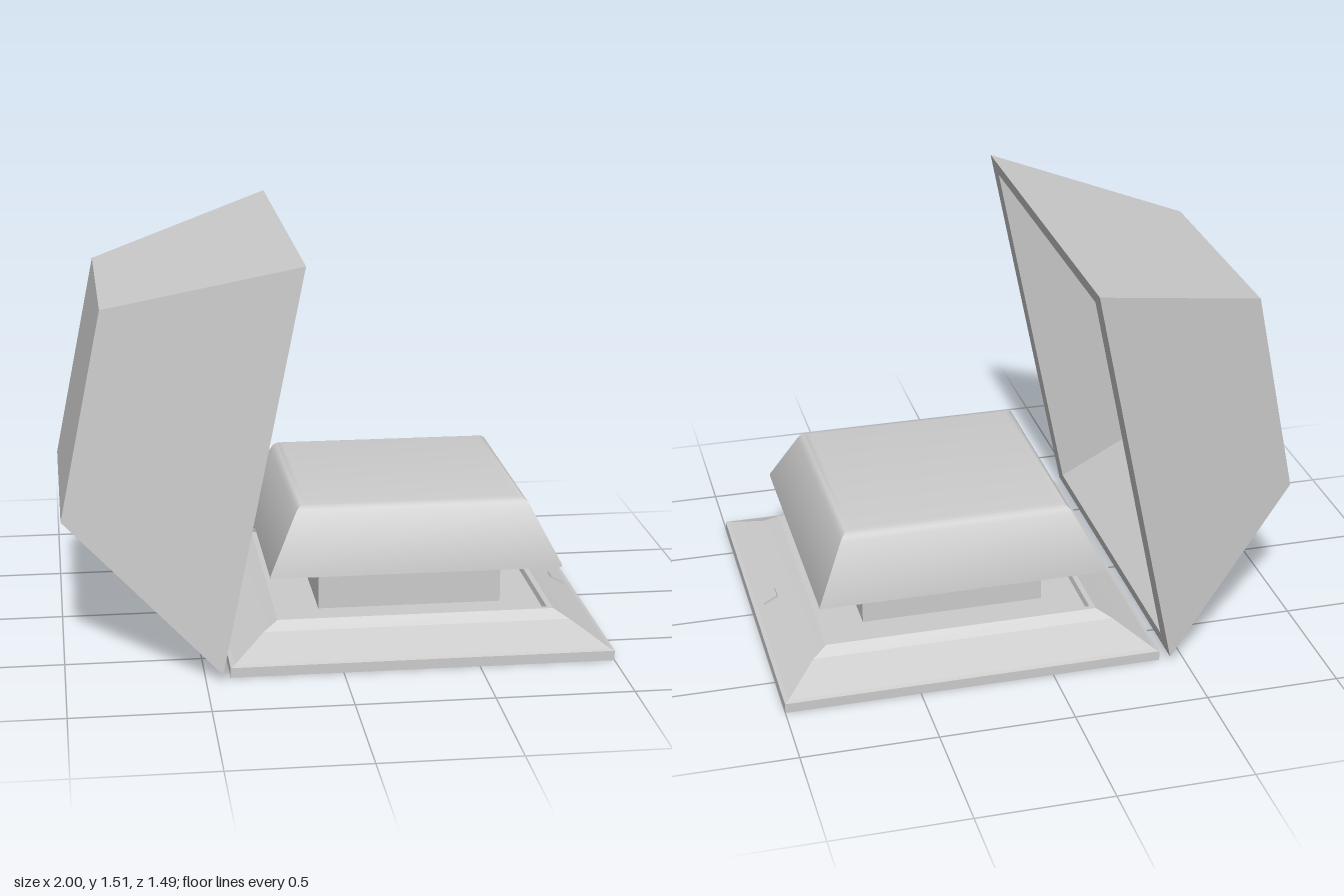
import * as THREE from 'three';
import { toCreasedNormals } from 'three/addons/utils/BufferGeometryUtils.js';

const material = new THREE.MeshStandardMaterial({ color: 0xcccccc });

// Lofts rectangular rings [y, halfX, halfZ, offsetX] and caps both ends.
function loft(rings, crease = 0.1) {
  const pos = [];
  const corners = rings.map(([y, hx, hz = hx, ox = 0]) => [
    [ox + hx, y, hz], [ox + hx, y, -hz], [ox - hx, y, -hz], [ox - hx, y, hz],
  ]);
  const quad = (a, b, c, d) => pos.push(...a, ...b, ...c, ...a, ...c, ...d);
  for (let r = 0; r < corners.length - 1; r++) {
    const a = corners[r], b = corners[r + 1];
    for (let i = 0; i < 4; i++) {
      const j = (i + 1) % 4;
      quad(a[i], a[j], b[j], b[i]);
    }
  }
  const first = corners[0], last = corners[corners.length - 1];
  quad(first[3], first[2], first[1], first[0]);
  quad(last[0], last[1], last[2], last[3]);
  const geometry = new THREE.BufferGeometry();
  geometry.setAttribute('position', new THREE.Float32BufferAttribute(pos, 3));
  return toCreasedNormals(geometry, crease);
}

function addPart(parent, name, geometry, x = 0, y = 0, z = 0) {
  const mesh = new THREE.Mesh(geometry, material);
  mesh.name = name;
  mesh.position.set(x, y, z);
  parent.add(mesh);
  return mesh;
}

export function createModel() {
  const model = new THREE.Group();
  model.name = 'openBox';
  const cx = 0.295, cz = -0.005;

  // Base: recessed underside, slab edge, sloping sides and shallow tray
  addPart(model, 'base', loft([
    [0.012, 0.56], [0.016, 0.565], [0.016, 0.665], [0, 0.67], [0, 0.705],
    [0.037, 0.705], [0.042, 0.69], [0.108, 0.57, 0.545], [0.14, 0.515, 0.51],
    [0.14, 0.495, 0.49], [0.118, 0.49, 0.485],
  ]), cx, 0, cz);

  // Catch on the sloping front edge
  const catchTab = addPart(model, 'catch', new THREE.BoxGeometry(0.06, 0.012, 0.06), 0.935, 0.073, cz);
  catchTab.rotation.z = -0.5;

  // Post runs down through the base
  addPart(model, 'post', new THREE.BoxGeometry(0.69, 0.31, 0.7), cx, 0.165, cz);

  // Cushion with a thin lip and softened top edge
  addPart(model, 'cushion', loft([
    [0.31, 0.54], [0.32, 0.54], [0.515, 0.44], [0.534, 0.429],
    [0.546, 0.415], [0.55, 0.395],
  ], 0.75), cx - 0.003, 0, cz);

  // Lid: hollow tapered shell tipped back, from inner back round to outer back
  const lid = addPart(model, 'lid', loft([
    [0.6, 0.37, 0.4, 0.015], [0, 0.7, 0.66], [0, 0.755, 0.745],
    [0.647, 0.398, 0.455, 0.022],
  ]), -0.29, 0.77, 0);
  lid.rotation.z = 1.371;

  return model;
}
